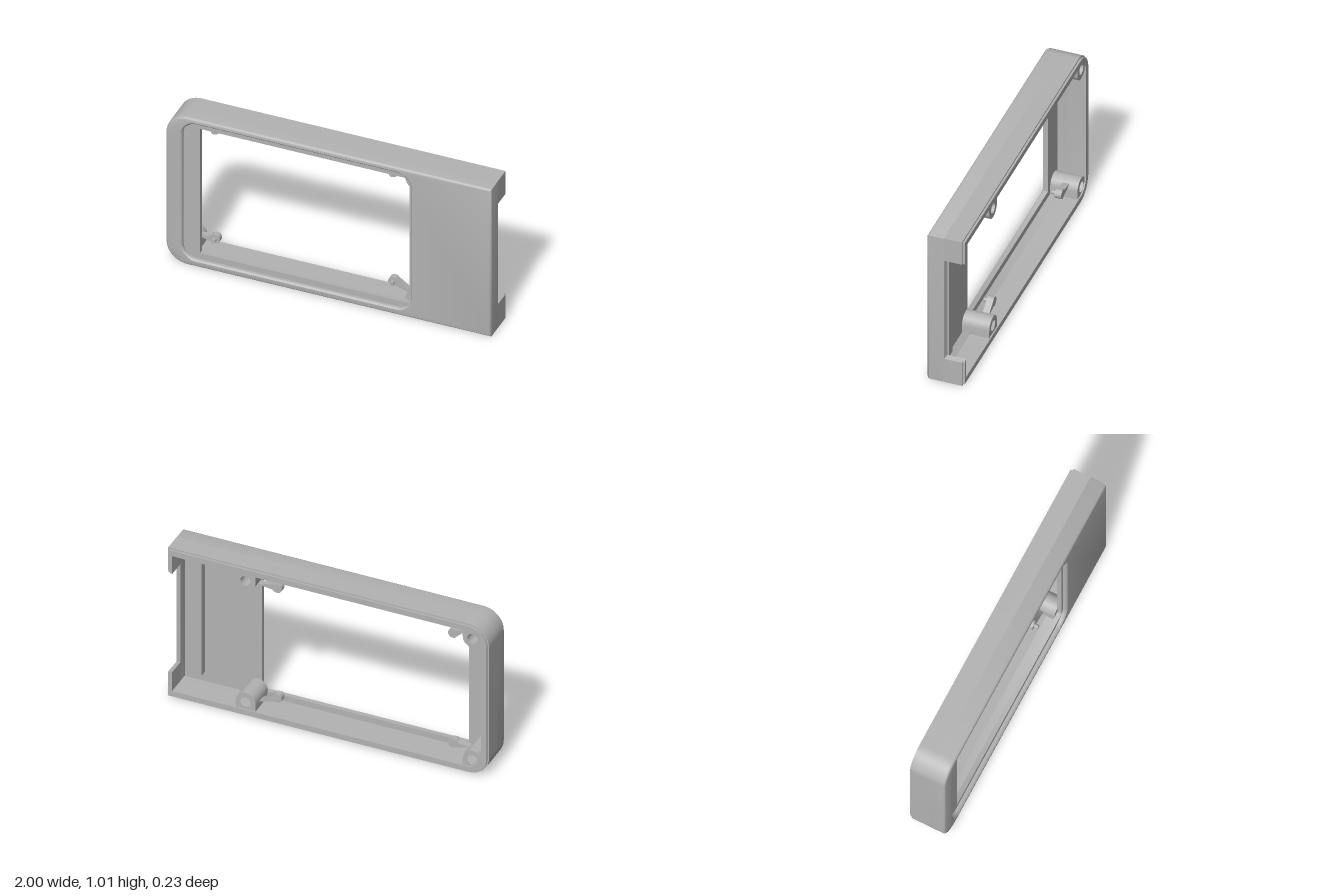
import * as THREE from 'three';
import { toCreasedNormals } from 'three/addons/utils/BufferGeometryUtils.js';

const H = 1.01, D = 0.113, WALL = 0.045, R = 0.13;
const NOTCH_Z = 0.01, NOTCH_LOW = 0.163, NOTCH_HIGH = 0.853;

// Rounded rectangle as a counter-clockwise ring of points, with left and right corner radii
function ring(x0, x1, y0, y1, rl, rr, z) {
  const pts = [], n = 10;
  const corners = [[x0 + rl, y0 + rl, rl, 2], [x1 - rr, y0 + rr, rr, 3], [x1 - rr, y1 - rr, rr, 0], [x0 + rl, y1 - rl, rl, 1]];
  for (const [cx, cy, r, q] of corners) {
    for (let i = 0; i <= n; i++) {
      const a = (q + i / n) * Math.PI / 2;
      pts.push([cx + r * Math.cos(a), cy + r * Math.sin(a), z]);
    }
  }
  return pts;
}

// Skin over a closed sequence of rings
function loft(rings) {
  const pos = [];
  rings.forEach((a, k) => {
    const b = rings[(k + 1) % rings.length];
    for (let i = 0; i < a.length; i++) {
      const j = (i + 1) % a.length;
      pos.push(...a[i], ...a[j], ...b[j], ...a[i], ...b[j], ...b[i]);
    }
  });
  const g = new THREE.BufferGeometry();
  g.setAttribute('position', new THREE.Float32BufferAttribute(pos, 3));
  return toCreasedNormals(g, 0.6);
}

function extrude(shape, z0, z1) {
  const g = new THREE.ExtrudeGeometry(shape, { depth: z1 - z0, bevelEnabled: false, curveSegments: 16 });
  g.translate(0, 0, z0);
  return toCreasedNormals(g, 0.6);
}

// Wall outline open at the right-hand notch
function wallShape(inset) {
  const x0 = -1 + inset, x1 = 1 - inset, y0 = inset, y1 = H - inset, c = -1 + R;
  const ro = R - inset, ri = R - WALL, xi = 0.97, h = Math.PI / 2;
  const s = new THREE.Shape();
  s.moveTo(x1, NOTCH_LOW);
  s.lineTo(x1, y0);
  s.lineTo(c, y0);
  s.absarc(c, R, ro, -h, -2 * h, true);
  s.lineTo(x0, H - R);
  s.absarc(c, H - R, ro, 2 * h, h, true);
  s.lineTo(x1, y1);
  s.lineTo(x1, NOTCH_HIGH);
  s.lineTo(xi, NOTCH_HIGH - 0.01);
  s.lineTo(xi, H - WALL);
  s.lineTo(c, H - WALL);
  s.absarc(c, H - R, ri, h, 2 * h, false);
  s.lineTo(-1 + WALL, R);
  s.absarc(c, R, ri, 2 * h, 3 * h, false);
  s.lineTo(xi, WALL);
  s.lineTo(xi, NOTCH_LOW + 0.01);
  return s;
}

// Screw post with one side running flat into the wall
function bossShape(x, y, up, holed) {
  const r = 0.062, wallY = up > 0 ? H - WALL + 0.002 : WALL - 0.002;
  const s = new THREE.Shape();
  s.moveTo(x - r, wallY);
  s.lineTo(x - r, y);
  s.absarc(x, y, r, Math.PI, 0, up < 0);
  s.lineTo(x + r, wallY);
  if (holed) s.holes.push(new THREE.Path().absarc(x, y, 0.032, 0, Math.PI * 2, true));
  return s;
}

// Arm with a round tip, widening toward its root
function armShape(tip, root) {
  const a = Math.atan2(root[1] - tip[1], root[0] - tip[0]);
  const px = -Math.sin(a), py = Math.cos(a), w = 0.027;
  const s = new THREE.Shape();
  s.moveTo(root[0] + px * w, root[1] + py * w);
  s.absarc(tip[0], tip[1], 0.029, a + 0.75, a + Math.PI * 2 - 0.75, false);
  s.lineTo(root[0] - px * w, root[1] - py * w);
  return s;
}

export function createModel() {
  const group = new THREE.Group();
  const grey = new THREE.MeshStandardMaterial({ color: 0xb3b3b3 });
  grey.name = 'plain grey';
  const add = (name, geometry) => {
    const m = new THREE.Mesh(geometry, grey);
    m.name = name;
    group.add(m);
    return m;
  };

  // Front bezel: rounded outer edge, recessed window ledge, inner cavity
  const outer = (i, z) => ring(-1 + i, 1 - i, i, H - i, R - i, 0.002, z);
  const recess = (i, z) => ring(-0.91 + i, 0.515 - i, 0.036 + i, 0.985 - i, 0.1 - i, 0.1 - i, z);
  const opening = z => ring(-0.8, 0.49, 0.083, 0.938, 0.002, 0.002, z);
  const cavity = z => ring(-1 + WALL, 0.97, WALL, H - WALL, R - WALL, 0.002, z);
  const edge = [], b = 0.016;
  for (let i = 0; i <= 5; i++) {
    const a = i / 5 * Math.PI / 2;
    edge.push(outer(b * (1 - Math.cos(a)), D - b + b * Math.sin(a)));
  }
  add('frontBezel', loft([
    outer(0, NOTCH_Z), ...edge,
    recess(0, D), recess(0.009, D - 0.009), recess(0.009, 0.088),
    opening(0.088), opening(0.06), cavity(0.06), cavity(NOTCH_Z),
  ]));

  // Side walls and the stepped rear lip
  add('sideWalls', extrude(wallShape(0), -0.1, NOTCH_Z));
  add('rearLip', extrude(wallShape(0.009), -D, -0.1));

  // Sloped edge of the notch in the right wall
  const wedge = new THREE.Shape([[1, -NOTCH_Z], [0.97, 0], [0.97, -NOTCH_Z]].map(p => new THREE.Vector2(...p)));
  const wedgeGeometry = extrude(wedge, NOTCH_LOW, NOTCH_HIGH);
  wedgeGeometry.rotateX(-Math.PI / 2);
  add('notchSlope', wedgeGeometry);

  // Stiffening rib behind the broad face
  const rib = add('innerRib', new THREE.BoxGeometry(0.05, 0.8, 0.045));
  rib.position.set(0.87, H / 2, 0.04);

  // Screw posts with holding arms, mirrored top and bottom
  for (const up of [1, -1]) {
    const my = y => up > 0 ? y : H - y;
    for (const [x, tipX] of [[0.515, 0.345], [-0.9, -0.75]]) {
      const y = my(0.918), tipY = my(0.88);
      add('screwPost', extrude(bossShape(x, y, up, true), -0.105, 0));
      add('screwPostBase', extrude(bossShape(x, y, up, false), 0, 0.061));
      const rootX = x + Math.sign(tipX - x) * 0.045;
      add('holdingArm', extrude(armShape([tipX, tipY], [rootX, my(0.905)]), -0.05, -0.01));
      const pin = new THREE.CylinderGeometry(0.012, 0.012, 0.03, 16);
      pin.rotateX(Math.PI / 2);
      add('locatingPin', pin).position.set(tipX, tipY, 0);
    }
  }
  return group;
}
